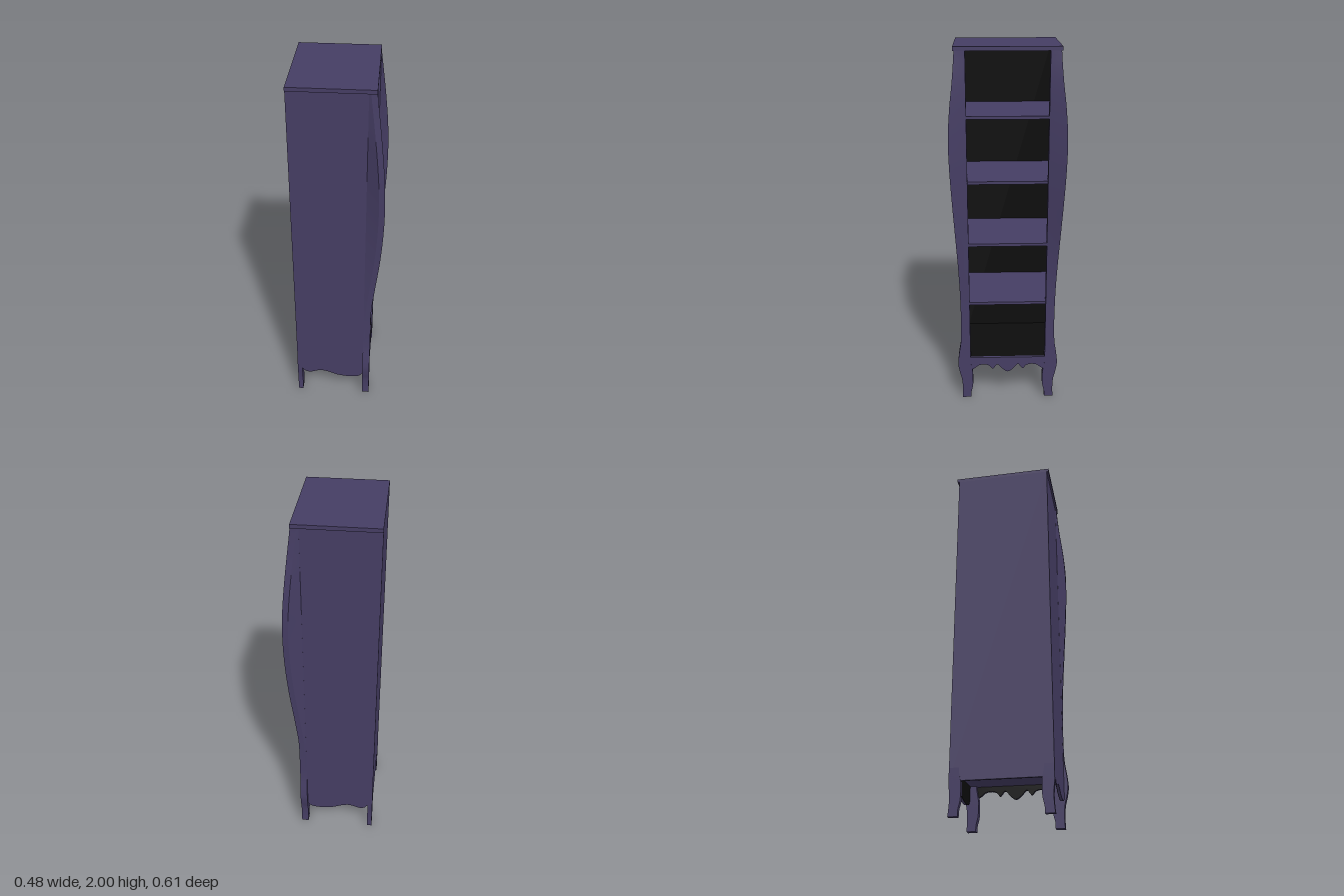
import * as THREE from 'three';

const purple = new THREE.MeshStandardMaterial({ color: 0x453d63 });
purple.name = 'plum paint';
const black = new THREE.MeshStandardMaterial({ color: 0x0c0c0c });
black.name = 'black lining';

function add(parent, name, geometry, material) {
  const mesh = new THREE.Mesh(geometry, material);
  mesh.name = name;
  parent.add(mesh);
  return mesh;
}

// Box given by its minimum and maximum corners
function box(parent, name, material, x0, x1, y0, y1, z0, z1) {
  const g = new THREE.BoxGeometry(x1 - x0, y1 - y0, z1 - z0);
  g.translate((x0 + x1) / 2, (y0 + y1) / 2, (z0 + z1) / 2);
  return add(parent, name, g, material);
}

// Upright loft: each ring is a list of [x, y, z]; every side gets its own strip so corners stay sharp
function loft(rings, mirror) {
  const pos = [], idx = [], n = rings[0].length, s = mirror ? -1 : 1;
  const put = (p) => pos.push(p[0], p[1], p[2] * s);
  const tri = (a, b, c) => (mirror ? idx.push(a, c, b) : idx.push(a, b, c));
  for (let k = 0; k < n; k++) {
    const start = pos.length / 3;
    rings.forEach((r) => { put(r[k]); put(r[(k + 1) % n]); });
    for (let i = 0; i < rings.length - 1; i++) {
      const a = start + i * 2;
      tri(a, a + 2, a + 3);
      tri(a, a + 3, a + 1);
    }
  }
  // End caps
  [rings[0], rings[rings.length - 1]].forEach((r, top) => {
    const start = pos.length / 3;
    r.forEach(put);
    for (let k = 1; k < n - 1; k++) {
      if (top) tri(start, start + k + 1, start + k);
      else tri(start, start + k, start + k + 1);
    }
  });
  const g = new THREE.BufferGeometry();
  g.setAttribute('position', new THREE.Float32BufferAttribute(pos, 3));
  g.setIndex(idx);
  g.computeVertexNormals();
  return g;
}

const curve = (pts) => new THREE.CatmullRomCurve3(pts.map((p) => new THREE.Vector3(...p)));

// Inner edge of a leg, curving out at the foot
function innerEdge(y) {
  const foot = 0.012 * (1 - THREE.MathUtils.smoothstep(y, 0.02, 0.09));
  return 0.2 + foot + 0.012 * THREE.MathUtils.smoothstep(y, 0.15, 0.24);
}

// Board with a wavy lower edge
function wavyShape(edge, top) {
  const spline = new THREE.SplineCurve(edge.map((p) => new THREE.Vector2(...p)));
  const pts = spline.getPoints(48);
  const last = edge[edge.length - 1];
  pts.push(new THREE.Vector2(last[0], top), new THREE.Vector2(edge[0][0], top));
  return new THREE.Shape(pts);
}
const extrude = (shape, depth) => new THREE.ExtrudeGeometry(shape, { depth, bevelEnabled: false });

export function createModel() {
  const group = new THREE.Group();
  group.name = 'bookcase';

  // Top board and back
  box(group, 'topBoard', purple, -0.242, 0.185, 1.98, 2, -0.273, 0.273);
  box(group, 'ceilingLining', black, -0.228, 0.18, 1.978, 1.981, -0.25, 0.25);
  box(group, 'backPanel', purple, -0.242, -0.23, 0.175, 1.981, -0.262, 0.262);
  box(group, 'backLining', black, -0.231, -0.228, 0.175, 1.98, -0.251, 0.251);

  // Bottom board and shelves
  box(group, 'bottomBoard', purple, -0.229, 0.17, 0.24, 0.256, -0.25, 0.25);
  box(group, 'floorLining', black, -0.229, 0.17, 0.256, 0.259, -0.25, 0.25);
  [0.6, 0.95, 1.3, 1.645].forEach((y) => {
    box(group, 'shelf', purple, -0.229, 0.146, y - 0.008, y + 0.008, -0.25, 0.25);
    box(group, 'shelfFront', purple, 0.146, 0.178, y - 0.008, y + 0.008, -0.213, 0.213);
  });

  // Front apron with scalloped lower edge
  const half = [[0.212, 0.18], [0.19, 0.19], [0.165, 0.21], [0.13, 0.214], [0.105, 0.206],
    [0.088, 0.186], [0.075, 0.197], [0.058, 0.214], [0.03, 0.185]];
  const scallops = [...half.map(([z, y]) => [-z, y]), [0, 0.166], ...half.slice().reverse()];
  const apron = wavyShape(scallops, 0.26);
  add(group, 'frontApron', extrude(apron, 0.014).rotateY(Math.PI / 2).translate(0.17, 0, 0), purple);
  add(group, 'apronLining', extrude(apron, 0.003).rotateY(Math.PI / 2).translate(0.167, 0, 0), black);

  // Side panels with wavy lower edge
  const side = wavyShape([[-0.241, 0.178], [-0.215, 0.175], [-0.195, 0.155], [-0.165, 0.15], [-0.13, 0.162],
    [-0.1, 0.168], [-0.06, 0.16], [-0.01, 0.14], [0.05, 0.13], [0.1, 0.131], [0.13, 0.142], [0.147, 0.165]], 1.981);

  // Front post outline, following the outer front corner from foot to top
  const outer = curve([[0.185, 0, 0.262], [0.185, 0.06, 0.26], [0.185, 0.12, 0.264], [0.185, 0.17, 0.276],
    [0.185, 0.22, 0.283], [0.185, 0.28, 0.278], [0.185, 0.36, 0.266], [0.185, 0.46, 0.262], [0.186, 0.65, 0.264],
    [0.202, 0.82, 0.27], [0.224, 1.02, 0.281], [0.237, 1.22, 0.293], [0.239, 1.4, 0.302], [0.232, 1.55, 0.304],
    [0.218, 1.7, 0.294], [0.202, 1.84, 0.278], [0.187, 1.96, 0.268], [0.185, 1.981, 0.267]]);
  const postRings = outer.getPoints(102).map(({ x, y, z }) => {
    const back = y < 0.46 ? z : 0.2625;
    const inner = innerEdge(y);
    return [[0.145, y, inner], [0.185, y, inner], [x, y, z], [x - 0.03, y, z], [0.145, y, back]];
  });

  // Back legs, flush with the case
  const backRings = [];
  for (let i = 0; i <= 24; i++) {
    const y = i * 0.01;
    const out = 0.262 - 0.006 * Math.sin(Math.PI * Math.min(1, y / 0.16));
    const inner = innerEdge(y);
    backRings.push([[-0.243, y, inner], [-0.215, y, inner], [-0.215, y, out], [-0.243, y, out]]);
  }

  for (const s of [1, -1]) {
    const label = s > 0 ? 'left' : 'right';
    add(group, label + 'SidePanel', extrude(side, 0.012).translate(0, 0, s > 0 ? 0.25 : -0.262), purple);
    add(group, label + 'SideLining', extrude(side, 0.003).translate(0, 0, s > 0 ? 0.247 : -0.25), black);
    add(group, label + 'FrontPost', loft(postRings, s < 0), purple);
    add(group, label + 'BackLeg', loft(backRings, s < 0), purple);
  }
  return group;
}
